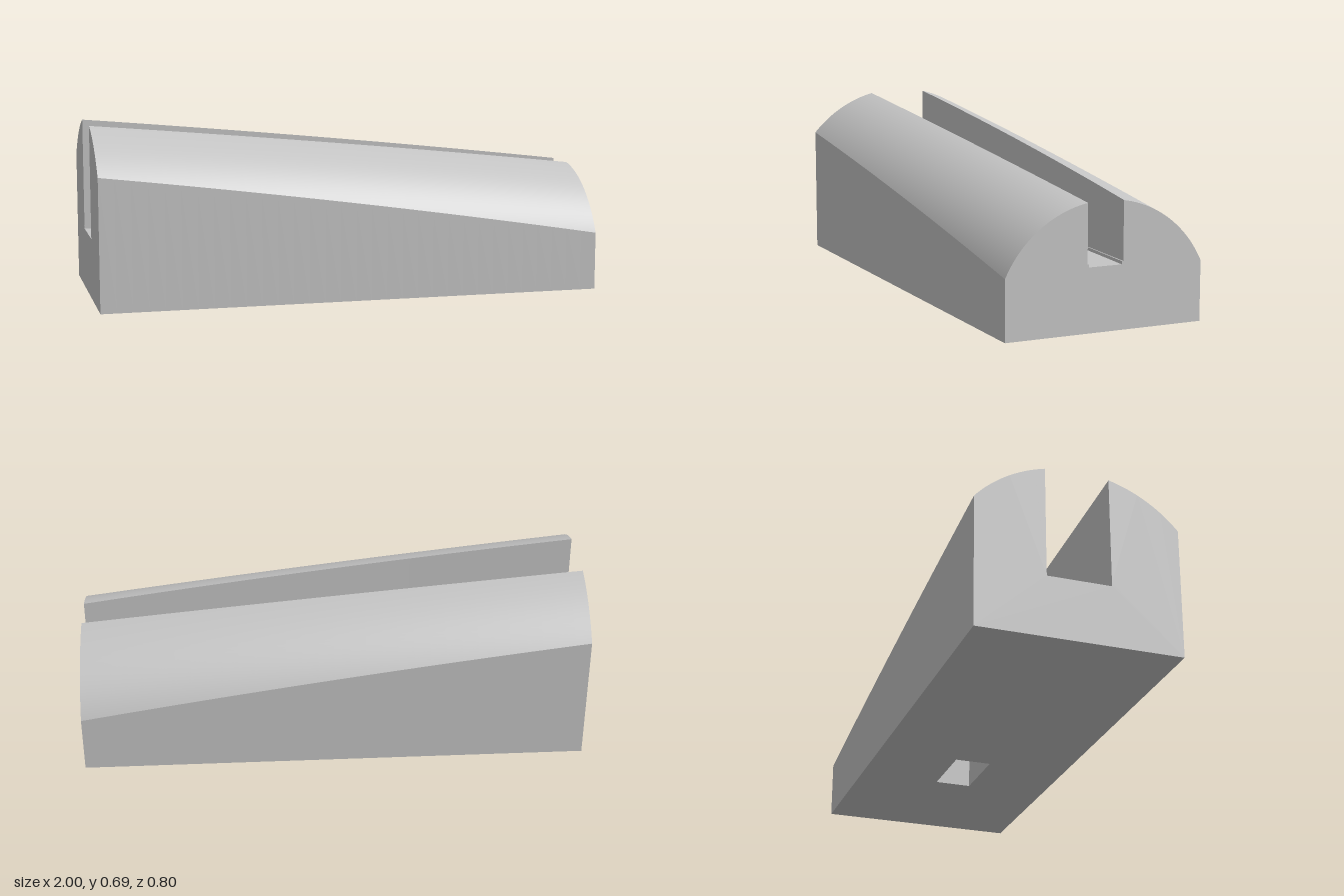
import * as THREE from 'three';
import { ParametricGeometry } from 'three/addons/geometries/ParametricGeometry.js';

const HALF = 0.4;            // half depth of the block
const FLOOR = 0.243;         // groove floor height
const LEDGE = 0.255;         // small step above the groove floor
const CAVITY = { x0: 0.2, x1: 0.47, z: 0.073, top: 0.2 };

// Rules along the length: arch radius, arch centre height, groove half widths
const radius = x => 0.48 - 0.044 * x + 0.006 * x * x;
const centre = x => 0.122 - 0.065 * x - 0.015 * x * x;
const groove = x => 0.106 - 0.0265 * x - 0.0065 * x * x;
const lower = x => groove(x) - 0.0005 - 0.0055 * Math.max(0, x);

// Point [z, y] on the +z half of the arch; t runs from side to groove
function arch(x, t) {
  const r = radius(x);
  const a = THREE.MathUtils.lerp(Math.acos(HALF / r), Math.acos(groove(x) / r), t);
  return [r * Math.cos(a), centre(x) + r * Math.sin(a)];
}

// Corner points of the groove, from the +z rim to the floor
const grooveSide = x => [
  arch(x, 1), [groove(x), LEDGE], [lower(x), LEDGE], [lower(x), FLOOR],
];
const mirror = ([z, y]) => [-z, y];

export function createModel() {
  const model = new THREE.Group();
  model.name = 'groovedBlock';
  const grey = new THREE.MeshStandardMaterial({ color: 0xc4c4c4 });
  grey.name = 'grey';

  function add(name, geometry) {
    const mesh = new THREE.Mesh(geometry, grey);
    mesh.name = name;
    model.add(mesh);
    return mesh;
  }

  // Sheet swept along x; section(x, t) gives [z, y]
  function sweep(name, section, x0 = -1, x1 = 1, nx = 32, nt = 1) {
    return add(name, new ParametricGeometry((u, v, p) => {
      const x = THREE.MathUtils.lerp(x0, x1, u);
      const [z, y] = section(x, v);
      p.set(x, y, z);
    }, nx, nt));
  }
  const line = (a, b, t) => [a[0] + (b[0] - a[0]) * t, a[1] + (b[1] - a[1]) * t];

  // Vertical sides and curved top, front and back
  sweep('frontSide', (x, t) => line([HALF, 0], arch(x, 0), t));
  sweep('frontArch', arch, -1, 1, 32, 24);
  sweep('backArch', (x, t) => mirror(arch(x, 1 - t)), -1, 1, 32, 24);
  sweep('backSide', (x, t) => line(mirror(arch(x, 0)), [-HALF, 0], t));

  // Tapering groove: wall, ledge and step on both sides, then the floor
  ['Wall', 'Ledge', 'Step'].forEach((part, i) => {
    sweep('frontGroove' + part, (x, t) => line(grooveSide(x)[i], grooveSide(x)[i + 1], t));
    sweep('backGroove' + part, (x, t) =>
      line(mirror(grooveSide(x)[i + 1]), mirror(grooveSide(x)[i]), t));
  });
  sweep('grooveFloor', (x, t) => line([lower(x), FLOOR], [-lower(x), FLOOR], t));

  // End faces
  for (const side of [-1, 1]) {
    const half = [[HALF, 0]];
    for (let i = 0; i < 24; i++) half.push(arch(side, i / 24));
    half.push(...grooveSide(side));
    const outline = [...half, ...half.map(mirror).reverse()];
    const shape = new THREE.Shape(outline.map(p => new THREE.Vector2(...p)));
    const end = add(side > 0 ? 'leftEnd' : 'rightEnd', new THREE.ShapeGeometry(shape));
    end.rotation.y = side * Math.PI / 2;
    end.position.x = side;
  }

  // Underside with a rectangular opening
  const rect = (x0, x1, z) => [[x0, -z], [x1, -z], [x1, z], [x0, z]]
    .map(p => new THREE.Vector2(...p));
  const base = new THREE.Shape(rect(-1, 1, HALF));
  base.holes.push(new THREE.Path(rect(CAVITY.x0, CAVITY.x1, CAVITY.z)));
  add('underside', new THREE.ShapeGeometry(base)).rotation.x = Math.PI / 2;

  // Pocket above the opening
  const { x0, x1, z, top } = CAVITY;
  const pocket = [[-z, 0], [-z, top], [z, top], [z, 0]];
  ['Back', 'Roof', 'Front'].forEach((part, i) =>
    sweep('pocket' + part, (x, t) => line(pocket[i], pocket[i + 1], t), x0, x1, 1));
  for (const [x, turn] of [[x0, 1], [x1, -1]]) {
    const wall = add('pocketEnd', new THREE.PlaneGeometry(2 * z, top));
    wall.rotation.y = turn * Math.PI / 2;
    wall.position.set(x, top / 2, 0);
  }
  return model;
}
